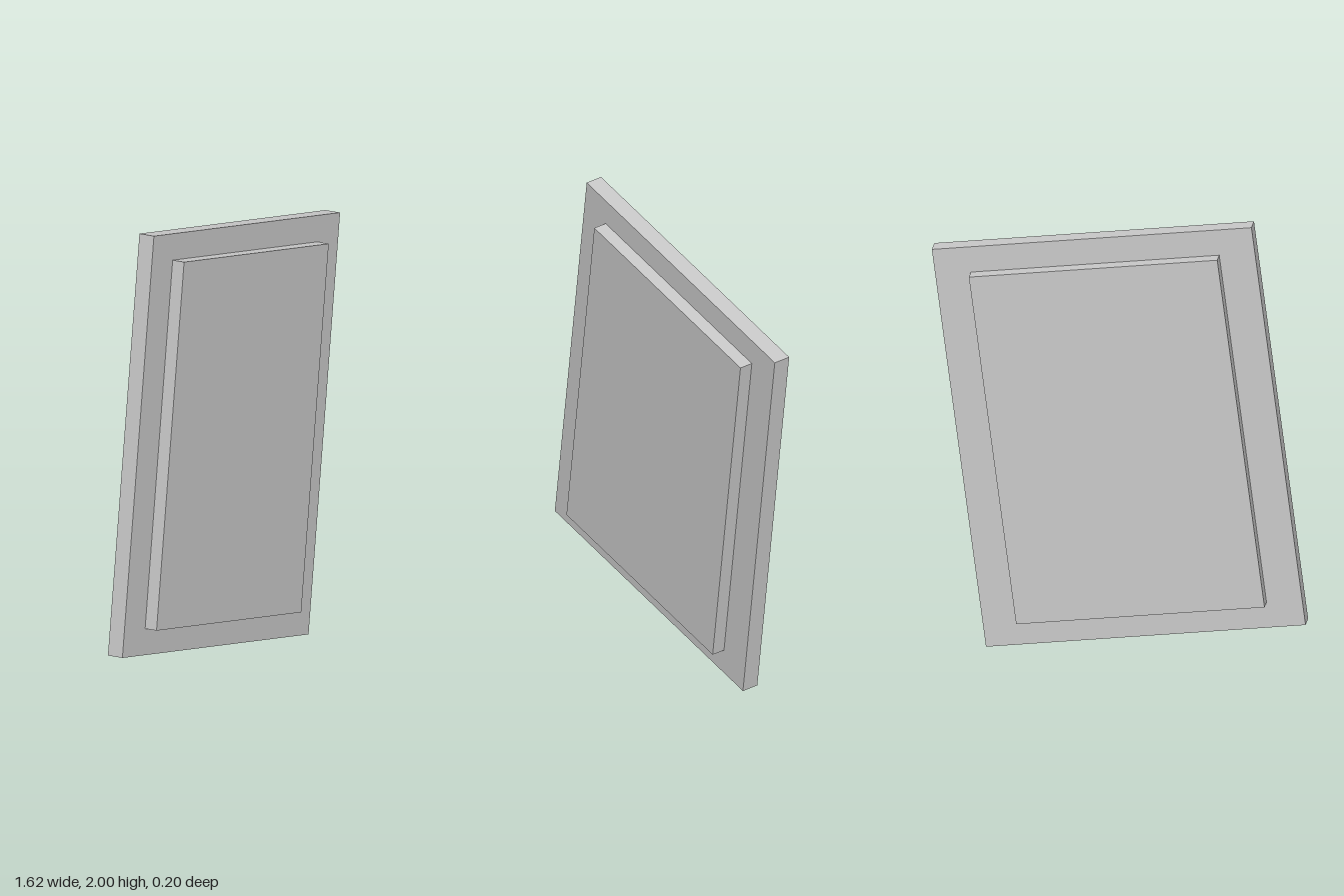
import * as THREE from 'three';

export function createModel() {
  const model = new THREE.Group();
  const material = new THREE.MeshStandardMaterial({ color: 0xcccccc, flatShading: true });
  const slabHalf = 0.038, panelDepth = 0.06;

  // Everything shares one clockwise lean
  const board = new THREE.Group();
  board.name = 'board';
  board.position.y = 1;
  board.rotation.z = -0.1285;
  model.add(board);

  const addBox = (name, w, h, d, z) => {
    const mesh = new THREE.Mesh(new THREE.BoxGeometry(w, h, d), material);
    mesh.name = name;
    mesh.position.z = z;
    board.add(mesh);
  };

  // Thin backing slab
  addBox('slab', 1.4, 1.836, slabHalf * 2, 0);

  // Raised panel on each face
  for (const [name, side] of [['frontPanel', 1], ['backPanel', -1]]) {
    addBox(name, 1.088, 1.604, panelDepth, side * (slabHalf + panelDepth / 2));
  }
  return model;
}
